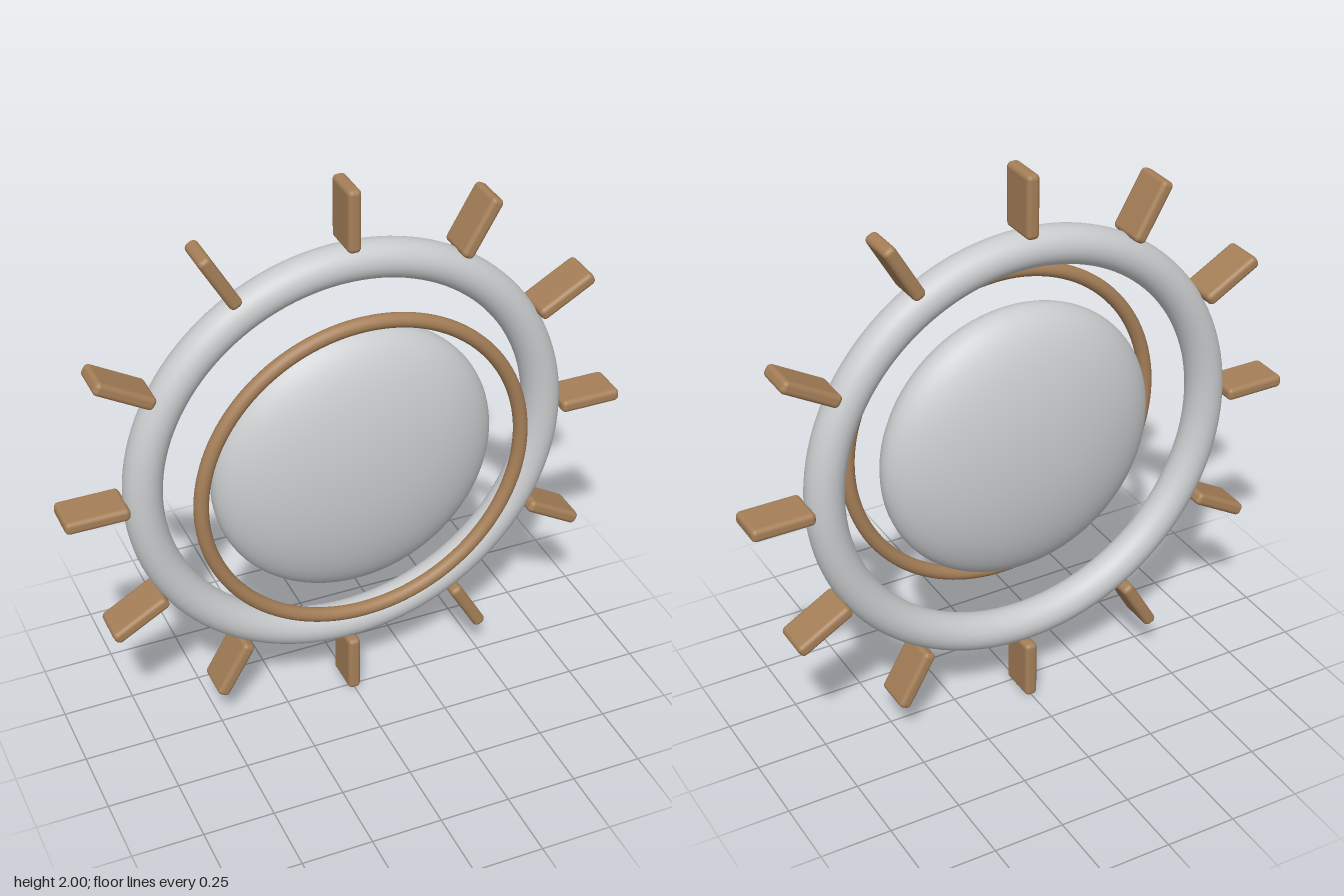
import * as THREE from 'three';
import { RoundedBoxGeometry } from 'three/addons/geometries/RoundedBoxGeometry.js';

export function createModel() {
  const model = new THREE.Group();
  model.name = 'sunWheel';
  const silver = new THREE.MeshStandardMaterial({ name: 'silver', color: 0xc9cbcd });
  const bronze = new THREE.MeshStandardMaterial({ name: 'bronze', color: 0xa57f58 });

  function add(name, geometry, material, z = 0) {
    const mesh = new THREE.Mesh(geometry, material);
    mesh.name = name;
    mesh.position.set(0, 1, z);
    model.add(mesh);
    return mesh;
  }

  // Flattened central disc
  add('disc', new THREE.SphereGeometry(0.5, 64, 48).scale(1, 1, 0.347), silver);

  // Thick outer ring and slim raised ring in front
  add('outerRing', new THREE.TorusGeometry(0.721, 0.066, 32, 128), silver, -0.04);
  add('frontRing', new THREE.TorusGeometry(0.572, 0.025, 20, 128), bronze, 0.105);

  // Twelve rounded paddles around the rim
  const paddle = new RoundedBoxGeometry(0.22, 0.046, 0.145, 4, 0.017).translate(0.89, 0, 0);
  for (let i = 0; i < 12; i++) {
    add('paddle' + (i + 1), paddle, bronze, -0.044).rotation.z = (i * Math.PI) / 6;
  }
  return model;
}
